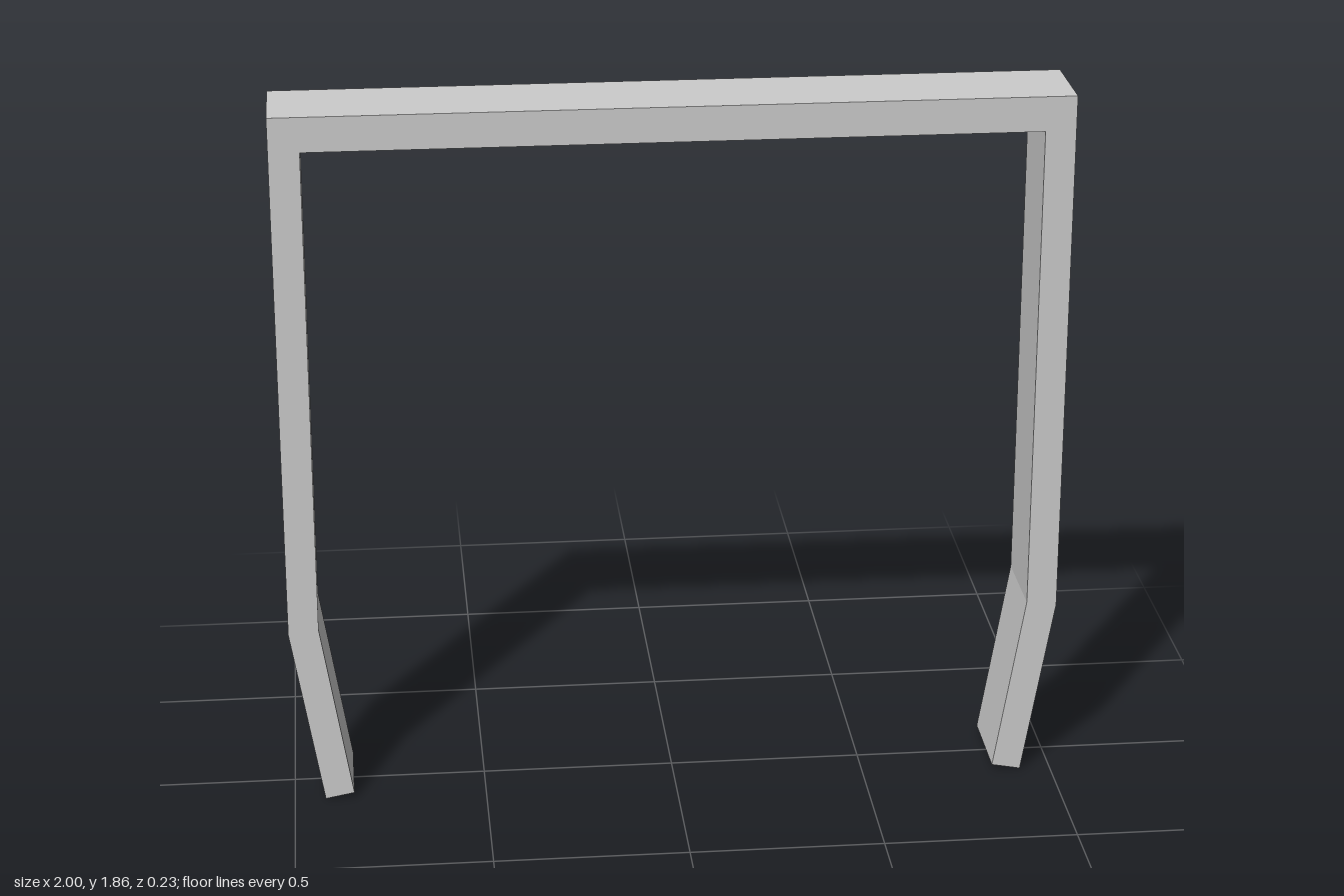
import * as THREE from 'three';

const DEPTH = 0.234;

// Half outline of the bracket (x > 0), from top outside round to top inside
const HALF = [
  [1, 1.858],      // outer top corner
  [1, 0.475],      // outer bend
  [0.92, 0],       // foot, outer edge
  [0.845, 0.014],  // foot, inner edge
  [0.922, 0.485],  // inner bend
  [0.922, 1.768],  // inner top corner
];

export function createModel() {
  const group = new THREE.Group();
  group.name = 'bracket';

  // One continuous bent bar: right half plus its mirror
  const mirrored = HALF.map(([x, y]) => [-x, y]).reverse();
  const outline = [...HALF, ...mirrored].map(([x, y]) => new THREE.Vector2(x, y));
  const geometry = new THREE.ExtrudeGeometry(new THREE.Shape(outline), {
    depth: DEPTH,
    bevelEnabled: false,
  });
  geometry.translate(0, 0, -DEPTH / 2);

  const material = new THREE.MeshStandardMaterial({ color: 0xcccccc, flatShading: true });
  const frame = new THREE.Mesh(geometry, material);
  frame.name = 'bentFrame';
  group.add(frame);
  return group;
}
